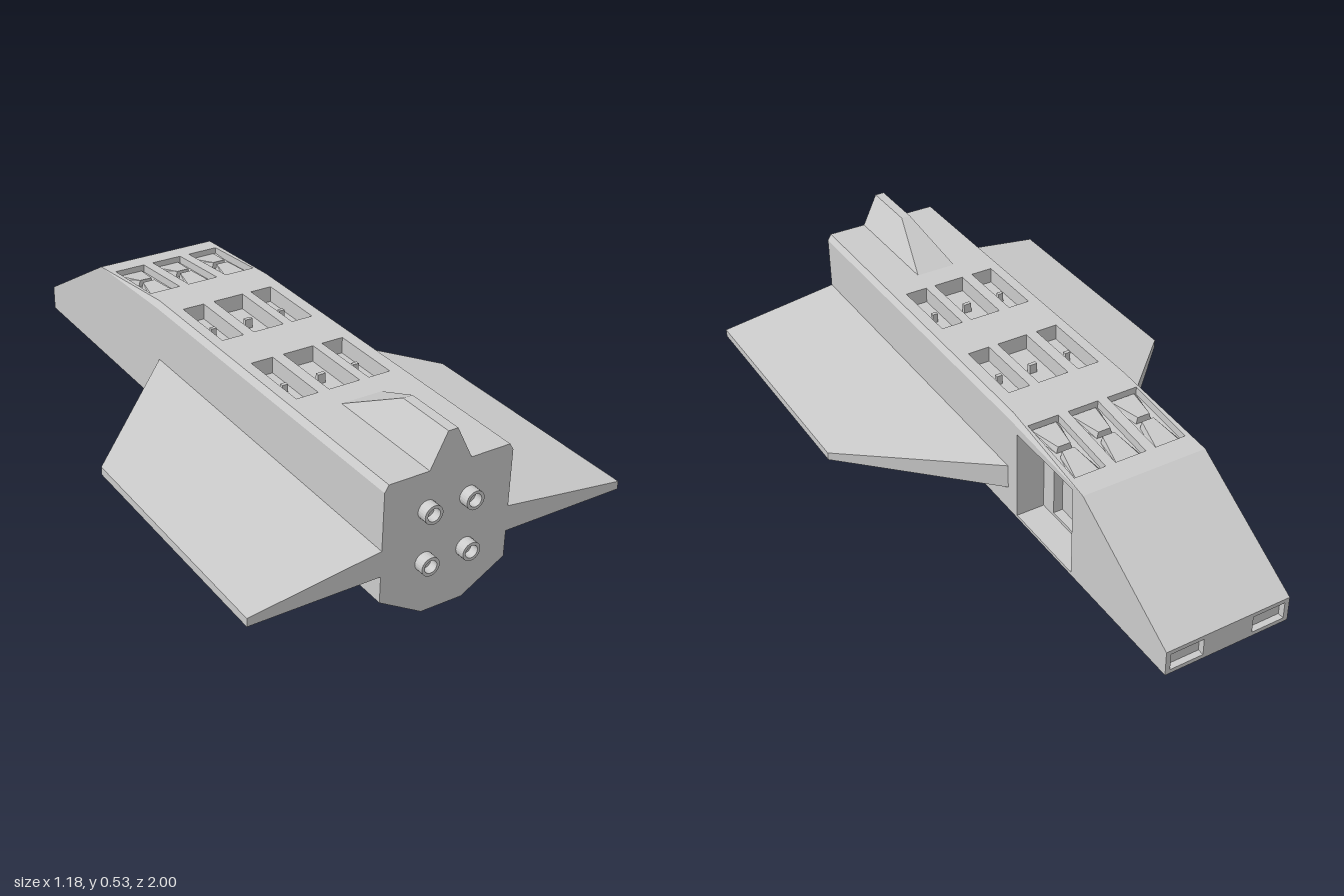
import * as THREE from 'three';

const mat = new THREE.MeshStandardMaterial({ color: 0xcccccc, side: THREE.DoubleSide, flatShading: true });

function add(parent, name, geometry) {
  const mesh = new THREE.Mesh(geometry, mat);
  mesh.name = name;
  parent.add(mesh);
  return mesh;
}

// Flat polygon (3 or more corners in a ring)
function face(...pts) {
  const pos = [];
  for (let i = 1; i < pts.length - 1; i++) pos.push(...pts[0], ...pts[i], ...pts[i + 1]);
  const g = new THREE.BufferGeometry();
  g.setAttribute('position', new THREE.Float32BufferAttribute(pos, 3));
  g.computeVertexNormals();
  return g;
}

const rect = (u0, u1, v0, v1) => [[u0, v0], [u1, v0], [u1, v1], [u0, v1]];
const vec = pts => pts.map(p => new THREE.Vector2(...p));

// Flat panel with holes, placed in space by map(u, v, depth)
function panel(parent, name, outline, holes, map, depth = 0) {
  const shape = new THREE.Shape(vec(outline));
  holes.forEach(h => shape.holes.push(new THREE.Path(vec(h))));
  const g = new THREE.ShapeGeometry(shape), p = g.attributes.position;
  for (let i = 0; i < p.count; i++) p.setXYZ(i, ...map(p.getX(i), p.getY(i), depth));
  g.computeVertexNormals();
  return add(parent, name, g);
}

// Recess: side walls and a floor, which may itself have holes
function recess(parent, name, outline, map, d0, d1, holes = []) {
  const group = new THREE.Group();
  group.name = name;
  outline.forEach((a, i) => {
    const b = outline[(i + 1) % outline.length];
    add(group, name + 'Wall', face(map(...a, d0), map(...b, d0), map(...b, d1), map(...a, d1)));
  });
  panel(group, name + 'Floor', outline, holes, map, d1);
  parent.add(group);
}

// Solid with a smaller or shifted top: two rings of equal corner count
function loft(bottom, top) {
  const pos = [], put = g => pos.push(...g.attributes.position.array);
  put(face(...bottom));
  put(face(...top));
  bottom.forEach((a, i) => {
    const j = (i + 1) % bottom.length;
    put(face(a, bottom[j], top[j], top[i]));
  });
  const g = new THREE.BufferGeometry();
  g.setAttribute('position', new THREE.Float32BufferAttribute(pos, 3));
  g.computeVertexNormals();
  return g;
}

export function createModel() {
  const ship = new THREE.Group();
  ship.name = 'shuttle';
  const T = 0.97, B = -0.22, C = -0.6, N = -1; // tail, roof bend, brow, nose
  const W = 0.2, K = 0.065, D = 0.188; // half widths of hull, keel, roof

  // Roof with hatch openings
  const roofMap = (x, z, d) => [x, 0.43 - d, z];
  const hatches = [];
  for (const z of [-0.015, 0.38])
    for (const [x, w] of [[-0.12, 0.035], [0, 0.05], [0.115, 0.035]])
      hatches.push({ x, z, o: rect(x - w, x + w, z - 0.117, z + 0.117), w });
  panel(ship, 'roof', rect(-D, D, B, T), hatches.map(h => h.o), roofMap);
  for (const h of hatches) {
    recess(ship, 'roofHatch', h.o, roofMap, 0, 0.05);
    add(ship, 'hatchHandle', new THREE.BoxGeometry(h.w * 0.5, 0.03, 0.012)).position.set(h.x, 0.395, h.z);
  }

  // Sloping front roof with three bays, each holding a waisted saddle block
  const slopeMap = (x, z, d) => [x, 0.43 - 0.035 * (B - z) / (B - C) - d, z];
  const bays = [-0.132, 0, 0.132].map(x => ({ x, o: rect(x - 0.05, x + 0.05, -0.53, -0.29) }));
  panel(ship, 'frontRoof', [[-D, B], [D, B], [W, C], [-W, C]], bays.map(b => b.o), slopeMap);
  for (const { x, o } of bays) {
    recess(ship, 'frontBay', o, slopeMap, 0, 0.025);
    for (const s of [-1, 1]) {
      const z = t => -0.41 + s * t;
      const ring = (w0, w1, d0, d1) => [slopeMap(x - w0, z(0.01), d0), slopeMap(x + w0, z(0.01), d0),
        slopeMap(x + w1, z(0.117), d1), slopeMap(x - w1, z(0.117), d1)];
      add(ship, 'saddleBlock', loft(ring(0.025, 0.048, 0.025, 0.025), ring(0.02, 0.04, 0.004, 0.018)));
    }
  }

  // Sides: the left one carries the recessed doorway
  const sideOutline = [[T, 0.08], [T, 0.41], [B, 0.41], [C, 0.395], [N, 0.16], [N, 0.08]];
  const leftMap = (z, y, d) => [W - d, y, z];
  const door = rect(-0.55, -0.26, 0.09, 0.382), inner = rect(-0.495, -0.315, 0.1, 0.372);
  panel(ship, 'leftSide', sideOutline, [door], leftMap);
  panel(ship, 'rightSide', sideOutline, [], (z, y) => [-W, y, z]);
  recess(ship, 'doorway', door, leftMap, 0, 0.09, [inner]);
  recess(ship, 'innerDoor', inner, leftMap, 0.09, 0.12);

  // Roof edges, lower flanks and wings, mirrored
  for (const s of [-1, 1]) {
    add(ship, 'roofEdge', face([s * W, 0.41, T], [s * D, 0.43, T], [s * D, 0.43, B], [s * W, 0.41, B]));
    add(ship, 'roofEdgeTip', face([s * W, 0.41, B], [s * D, 0.43, B], [s * W, 0.395, C]));
    add(ship, 'lowerFlank', face([s * W, 0.08, T], [s * K, 0, T], [s * K, 0, C], [s * W, 0.08, C]));
    add(ship, 'noseFlank', face([s * W, 0.08, C], [s * K, 0, C], [s * W, 0.08, N]));
    const plan = (yRoot, yTip) => [[s * W, yRoot, T], [s * W, yRoot, -0.21], [s * 0.59, yTip, 0.18], [s * 0.59, yTip, T]];
    add(ship, s > 0 ? 'leftWing' : 'rightWing', loft(plan(0.16, 0.16), plan(0.238, 0.185)));
  }

  // Keel and nose
  add(ship, 'keel', face([-K, 0, T], [K, 0, T], [K, 0, C], [-K, 0, C]));
  add(ship, 'noseUnderside', face([-K, 0, C], [K, 0, C], [W, 0.08, N], [-W, 0.08, N]));
  add(ship, 'windshield', face([-W, 0.395, C], [W, 0.395, C], [W, 0.16, N], [-W, 0.16, N]));
  const noseMap = (x, y, d) => [x, y, N + d];
  const lamps = [rect(-0.185, -0.08, 0.093, 0.147), rect(0.08, 0.185, 0.093, 0.147)];
  panel(ship, 'noseFace', rect(-W, W, 0.08, 0.16), lamps, noseMap);
  lamps.forEach(o => recess(ship, 'headlight', o, noseMap, 0, 0.02));

  // Tail wall
  panel(ship, 'tailWall', [[-K, 0], [K, 0], [W, 0.08], [W, 0.41], [D, 0.43], [-D, 0.43], [-W, 0.41], [-W, 0.08]],
    [], (x, y) => [x, y, T]);

  // Tail fin
  const finRing = (w, y, z) => [[-w, y, T], [w, y, T], [w, y, z], [-w, y, z]];
  add(ship, 'tailFin', loft(finRing(K, 0.43, 0.58), finRing(0.015, 0.53, 0.78)));

  // Thruster nozzles: hollow rings
  const ring = vec([[0, 0.005], [0.019, 0.005], [0.019, 0.03], [0.028, 0.03], [0.028, 0]]);
  for (const x of [-0.066, 0.064])
    for (const y of [0.16, 0.317]) {
      const nozzle = add(ship, 'nozzle', new THREE.LatheGeometry(ring, 24));
      nozzle.rotation.x = Math.PI / 2;
      nozzle.position.set(x, y, T);
    }
  return ship;
}
